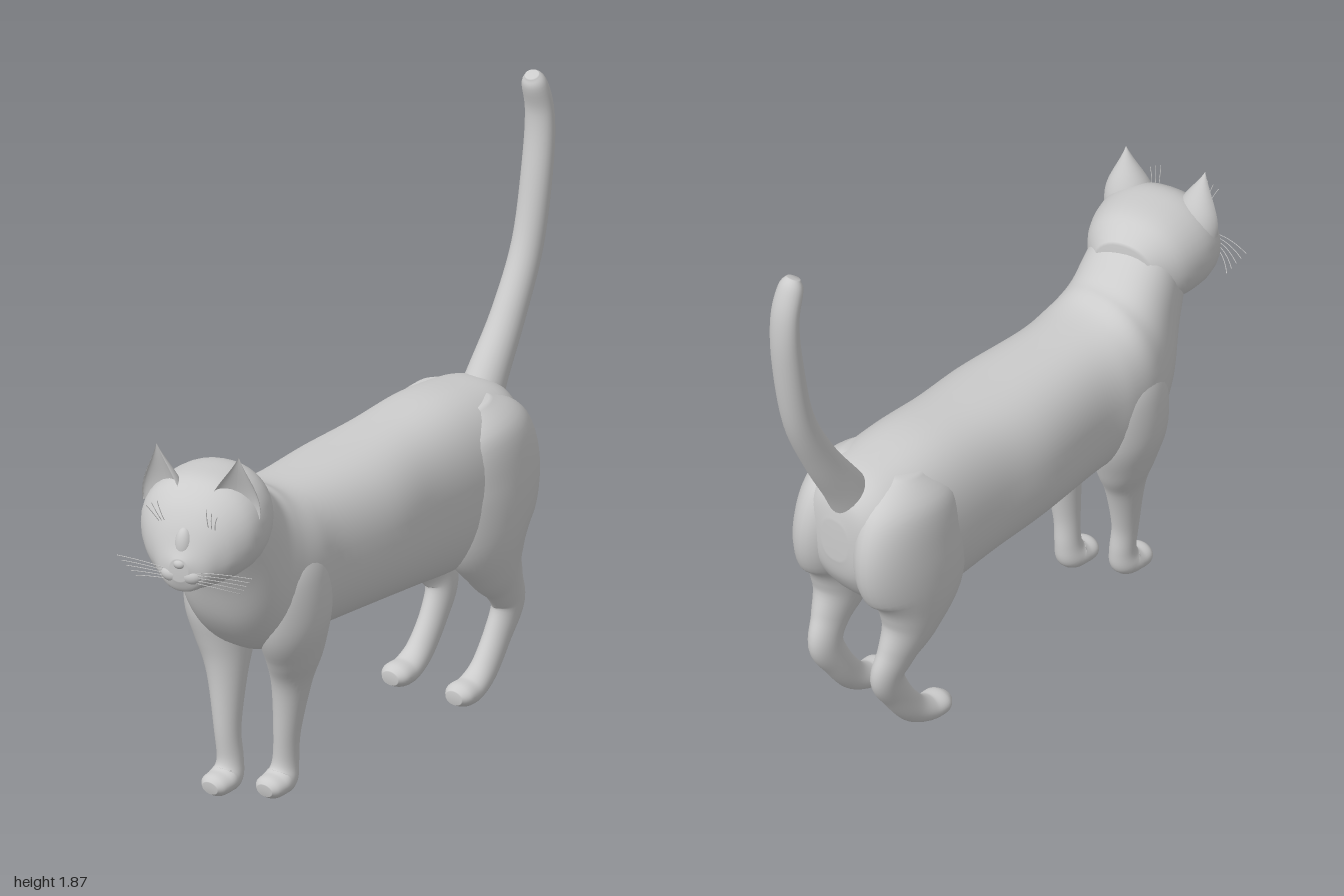
import * as THREE from 'three';

const grey = new THREE.MeshStandardMaterial({ color: 0xcccccc });
const greyThin = new THREE.MeshStandardMaterial({ color: 0xcccccc, side: THREE.DoubleSide });
const MID = -0.035; // x of the body's centre line

function add(parent, name, geometry, material = grey) {
  const mesh = new THREE.Mesh(geometry, material);
  mesh.name = name;
  parent.add(mesh);
  return mesh;
}

// Catmull-Rom interpolation of whole section rows
function sample(rows, t) {
  const i = Math.min(Math.floor(t), rows.length - 2), f = t - i;
  const at = k => rows[Math.max(0, Math.min(rows.length - 1, k))];
  const [a, b, c, d] = [at(i - 1), at(i), at(i + 1), at(i + 2)];
  return b.map((_, k) => 0.5 * (2 * b[k] + (c[k] - a[k]) * f
    + (2 * a[k] - 5 * b[k] + 4 * c[k] - d[k]) * f * f
    + (3 * b[k] - a[k] - 3 * c[k] + d[k]) * f ** 3));
}

// Smooth skin over sections [x, y, z, halfWidth, halfDepth, tilt?];
// without a tilt each ring stands square to the path
function loft(rows, power = 2, sides = 36, steps = 6) {
  const pos = [], index = [], total = (rows.length - 1) * steps;
  for (let s = 0; s <= total; s++) {
    const t = s / steps, [x, y, z, rx, rd, tilt] = sample(rows, t);
    let vy, vz;
    if (tilt === undefined) {
      const p = sample(rows, Math.max(0, t - 0.1)), q = sample(rows, Math.min(rows.length - 1, t + 0.1));
      const dy = q[1] - p[1], dz = q[2] - p[2], len = Math.hypot(dy, dz);
      vy = dz / len; vz = -dy / len;
    } else {
      vy = Math.cos(tilt); vz = -Math.sin(tilt);
    }
    for (let k = 0; k < sides; k++) {
      const a = k / sides * Math.PI * 2, c = Math.cos(a), n = Math.sin(a);
      const u = Math.sign(c) * Math.abs(c) ** (2 / power) * rx;
      const v = Math.sign(n) * Math.abs(n) ** (2 / power) * rd;
      pos.push(x + u, y + v * vy, z + v * vz);
      if (s < total) {
        const k2 = (k + 1) % sides, r = s * sides, r2 = r + sides;
        index.push(r + k, r + k2, r2 + k2, r + k, r2 + k2, r2 + k);
      }
    }
  }
  // End caps
  const first = rows[0], last = rows[rows.length - 1], n = pos.length / 3;
  pos.push(...first.slice(0, 3), ...last.slice(0, 3));
  for (let k = 0; k < sides; k++) {
    const k2 = (k + 1) % sides, r = total * sides;
    index.push(n, k2, k, n + 1, r + k, r + k2);
  }
  const g = new THREE.BufferGeometry();
  g.setAttribute('position', new THREE.Float32BufferAttribute(pos, 3));
  g.setIndex(index);
  g.computeVertexNormals();
  return g;
}

function blob(parent, name, position, scale) {
  const m = add(parent, name, new THREE.SphereGeometry(1, 24, 16));
  m.position.set(...position);
  m.scale.set(...scale);
  return m;
}

function makeHead() {
  const head = new THREE.Group();
  head.name = 'head';
  add(head, 'skull', loft([
    [0, 0.02, -0.2, 0.10, 0.10, 0],
    [0, 0.02, -0.12, 0.165, 0.15, 0],
    [0, 0.015, -0.02, 0.194, 0.165, 0],
    [0, 0.01, 0.06, 0.188, 0.16, 0],
    [0, -0.01, 0.12, 0.152, 0.138, 0],
    [0, -0.035, 0.16, 0.108, 0.107, 0],
    [0, -0.068, 0.19, 0.068, 0.07, 0],
    [0, -0.065, 0.208, 0.03, 0.035, 0],
  ], 2.15));
  blob(head, 'nose', [0, -0.045, 0.2], [0.02, 0.016, 0.016]);
  blob(head, 'noseBridge', [0, 0.0, 0.165], [0.03, 0.06, 0.03]);
  blob(head, 'chin', [0, -0.115, 0.165], [0.04, 0.028, 0.03]);

  for (const side of [-1, 1]) {
    blob(head, 'muzzle', [side * 0.03, -0.085, 0.182], [0.038, 0.028, 0.028]);
    const eye = blob(head, 'eye', [side * 0.084, 0.012, 0.142], [0.032, 0.021, 0.022]);
    eye.rotation.set(0, side * 0.5, side * 0.15);
    const lid = add(head, 'eyelid', new THREE.TorusGeometry(0.033, 0.006, 8, 24, Math.PI));
    lid.position.set(side * 0.084, 0.012, 0.146);
    lid.rotation.set(-0.25, side * 0.5, side * 0.15);
    lid.scale.y = 0.75;

    // Ear: a cone whose front half is folded back into a hollow shell
    const cone = new THREE.ConeGeometry(0.08, 0.2, 32, 10, true);
    const p = cone.attributes.position;
    for (let i = 0; i < p.count; i++) {
      const z = p.getZ(i), h = (p.getY(i) + 0.1) / 0.2;
      const bulge = 1 + 0.35 * Math.sin(h * Math.PI);
      p.setXYZ(i, p.getX(i) * bulge, p.getY(i), (z > 0 ? -0.4 * z : z * 0.85) * bulge);
    }
    cone.computeVertexNormals();
    const ear = add(head, 'ear', cone, greyThin);
    ear.position.set(side * 0.125, 0.172, 0.065);
    ear.rotation.set(0.05, side * 0.3, -side * 0.1);

    // Whiskers and brow hairs
    const hair = (name, a, b, c) => add(head, name, new THREE.TubeGeometry(
      new THREE.QuadraticBezierCurve3(...[a, b, c].map(v => new THREE.Vector3(side * v[0], v[1], v[2]))),
      8, 0.0013, 4), greyThin);
    for (let i = 0; i < 5; i++) {
      hair('whisker', [0.045, -0.07 - i * 0.008, 0.195], [0.12, -0.05 - i * 0.012, 0.21],
        [0.22 - i * 0.012, -0.07 - i * 0.018, 0.165 - i * 0.008]);
    }
    for (let i = 0; i < 3; i++) {
      hair('browHair', [0.07 + i * 0.01, 0.05, 0.14], [0.075 + i * 0.012, 0.09, 0.17],
        [0.08 + i * 0.018, 0.14 - i * 0.01, 0.185]);
    }
  }
  head.position.set(0.035, 1.0, 0.76);
  head.rotation.y = 0.24;
  return head;
}

export function createModel() {
  const cat = new THREE.Group();
  cat.name = 'cat';

  // Trunk and neck, rump to nape
  add(cat, 'body', loft([
    [MID, 0.77, -0.745, 0.05, 0.07, 0],
    [MID, 0.77, -0.725, 0.12, 0.15, 0],
    [MID, 0.75, -0.66, 0.175, 0.22, 0],
    [MID, 0.72, -0.55, 0.205, 0.27, 0],
    [MID, 0.715, -0.4, 0.212, 0.285, 0],
    [MID, 0.718, -0.2, 0.213, 0.27, 0],
    [MID, 0.725, 0, 0.225, 0.255, 0],
    [MID, 0.73, 0.25, 0.205, 0.248, 0],
    [MID, 0.737, 0.37, 0.212, 0.25, 0],
    [MID, 0.755, 0.47, 0.208, 0.26, 0.15],
    [-0.022, 0.82, 0.55, 0.19, 0.22, 0.35],
    [0, 0.92, 0.62, 0.168, 0.175, 0.45],
    [0.015, 1.0, 0.685, 0.15, 0.15, 0.45],
  ], 2.4, 48));

  add(cat, 'tail', loft([
    [MID, 0.88, -0.66, 0.07, 0.075],
    [MID, 0.97, -0.715, 0.062, 0.065],
    [MID, 1.12, -0.81, 0.053, 0.055],
    [MID, 1.32, -0.905, 0.049, 0.049],
    [MID, 1.57, -0.955, 0.05, 0.044],
    [MID, 1.73, -0.964, 0.048, 0.038],
    [MID, 1.83, -0.938, 0.041, 0.036],
    [MID, 1.862, -0.925, 0.022, 0.02],
  ], 2, 24));

  for (const side of [-1, 1]) {
    const place = rows => rows.map(([x, ...rest]) => [MID + side * x, ...rest]);

    // Front leg with paw; the right one steps forward
    const stride = side < 0 ? 0.085 : 0;
    const frontRows = [
      [0.12, 0.87, 0.42, 0.05, 0.06],
      [0.125, 0.76, 0.42, 0.095, 0.135],
      [0.13, 0.6, 0.41, 0.098, 0.14],
      [0.115, 0.47, 0.385, 0.08, 0.105],
      [0.095, 0.36, 0.375, 0.058, 0.068],
      [0.08, 0.2, 0.378, 0.04, 0.045],
      [0.072, 0.1, 0.375, 0.039, 0.043],
      [0.07, 0.052, 0.388, 0.047, 0.05],
      [0.07, 0.038, 0.42, 0.051, 0.038],
      [0.07, 0.035, 0.458, 0.046, 0.034],
      [0.07, 0.032, 0.478, 0.028, 0.02],
    ].map(([x, y, z, ...r]) => [x, y, z + stride * Math.min(1, Math.max(0, (0.65 - y) / 0.35)), ...r]);
    add(cat, side < 0 ? 'rightFrontLeg' : 'leftFrontLeg', loft(place(frontRows)));

    // Hind leg: haunch, hock and paw
    add(cat, side < 0 ? 'rightHindLeg' : 'leftHindLeg', loft(place([
      [0.09, 0.96, -0.52, 0.04, 0.06],
      [0.11, 0.88, -0.53, 0.1, 0.175],
      [0.122, 0.72, -0.545, 0.112, 0.218],
      [0.135, 0.56, -0.53, 0.098, 0.185],
      [0.14, 0.44, -0.56, 0.072, 0.115],
      [0.135, 0.35, -0.612, 0.05, 0.075],
      [0.125, 0.27, -0.645, 0.042, 0.063],
      [0.12, 0.18, -0.602, 0.039, 0.05],
      [0.12, 0.09, -0.535, 0.041, 0.046],
      [0.12, 0.05, -0.47, 0.048, 0.04],
      [0.12, 0.046, -0.415, 0.05, 0.037],
      [0.12, 0.044, -0.385, 0.03, 0.022],
    ])));
  }

  cat.add(makeHead());
  return cat;
}
